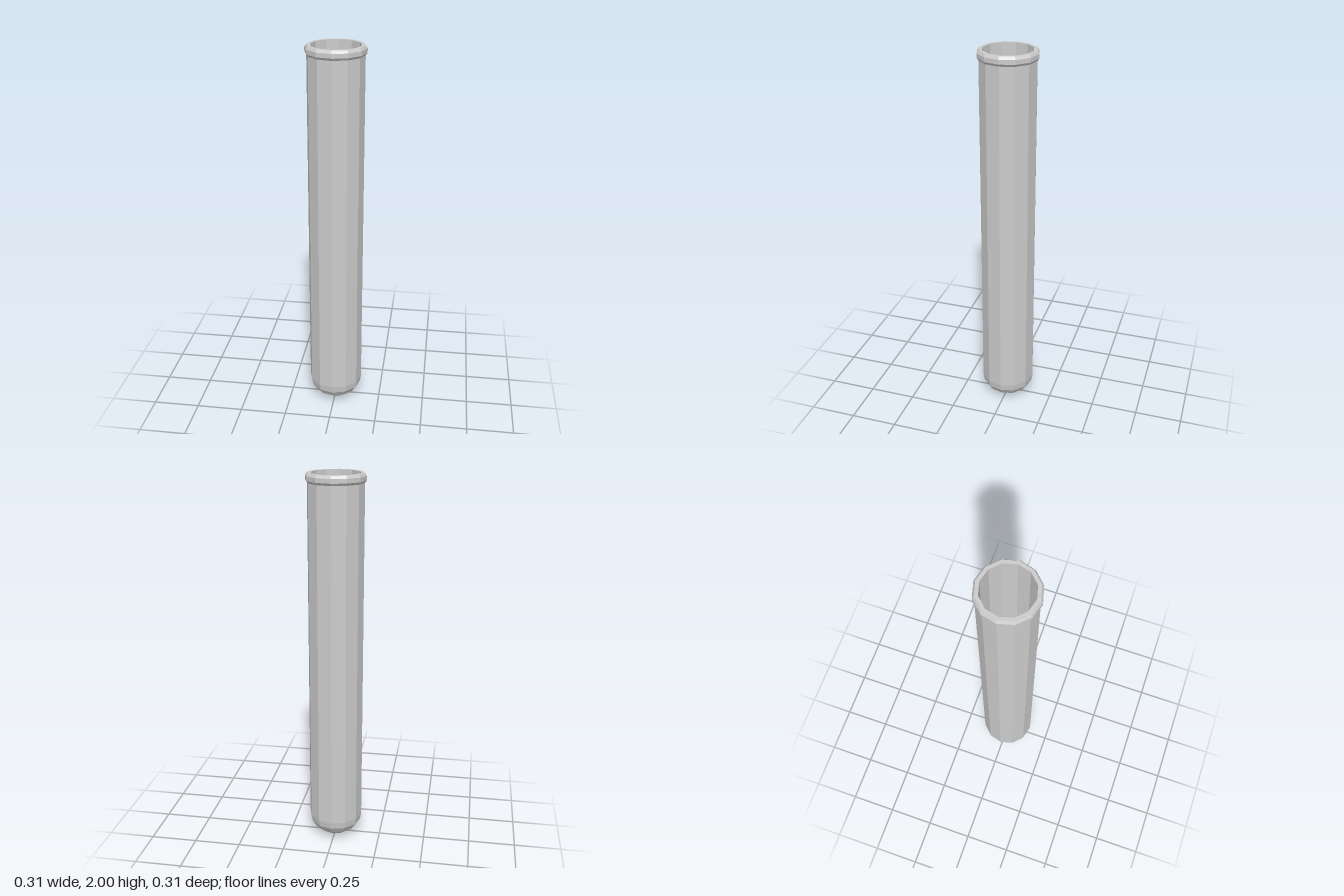
import * as THREE from 'three';

const SIDES = 12;

// Revolve a [radius, height] profile into a faceted mesh
function turned(name, profile, material) {
  const points = profile.map(([r, y]) => new THREE.Vector2(r, y));
  const mesh = new THREE.Mesh(new THREE.LatheGeometry(points, SIDES), material);
  mesh.name = name;
  return mesh;
}

export function createModel() {
  const group = new THREE.Group();
  group.name = 'testTube';
  const material = new THREE.MeshStandardMaterial({ color: 0xcccccc, flatShading: true });

  // Rounded bottom and straight outer wall
  group.add(turned('outerWall', [
    [0, 0], [0.027, 0.002], [0.072, 0.016], [0.116, 0.05],
    [0.139, 0.085], [0.145, 0.122], [0.145, 1.952],
  ], material));

  // Thickened lip with bevelled edges and a flat top
  group.add(turned('rim', [
    [0.145, 1.952], [0.154, 1.964], [0.154, 1.986], [0.145, 2], [0.127, 2],
  ], material));

  // Inner wall running down to the rounded inside of the bottom
  group.add(turned('innerWall', [
    [0.127, 2], [0.127, 0.125], [0.101, 0.065],
    [0.058, 0.032], [0.025, 0.021], [0, 0.02],
  ], material));

  return group;
}
